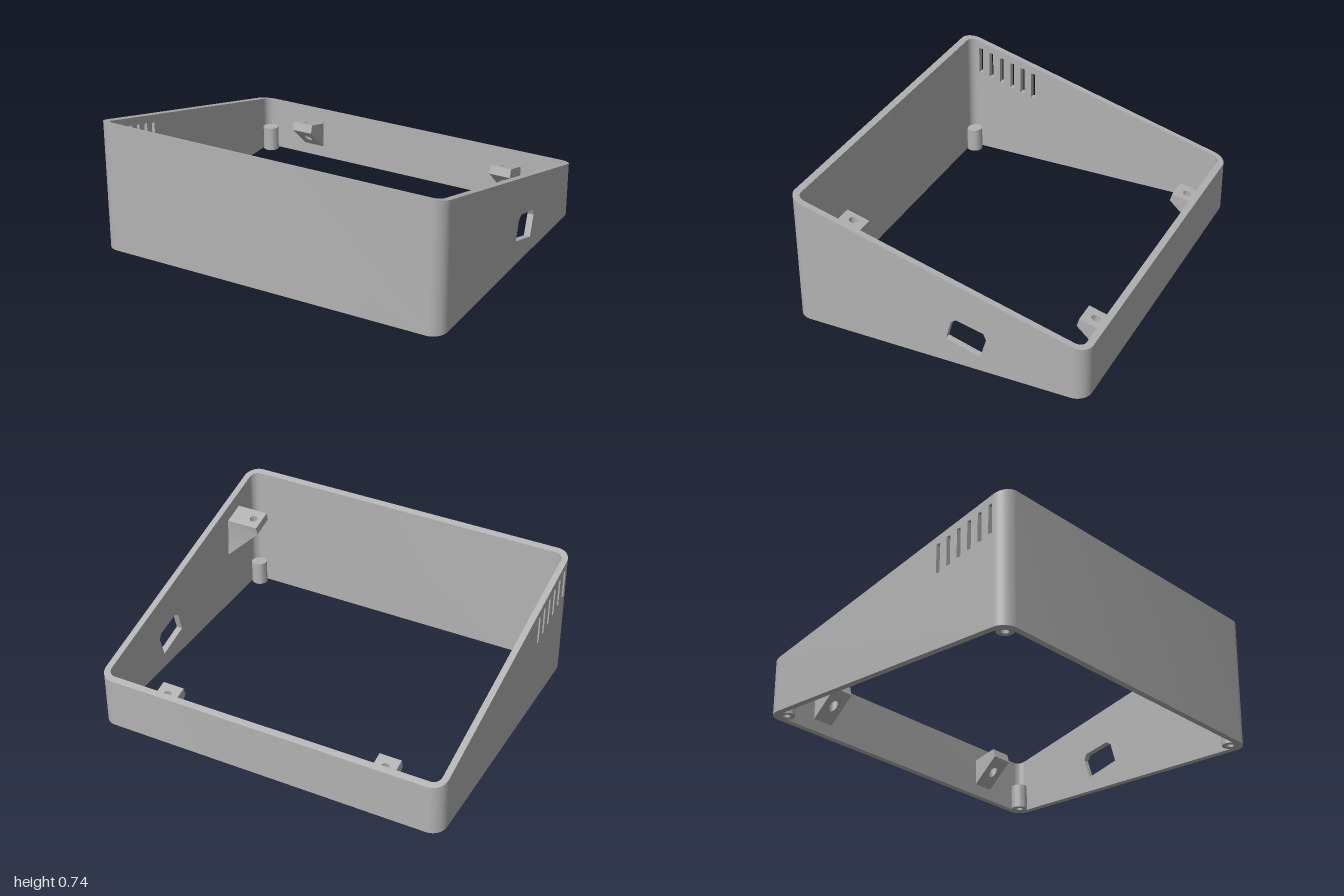
import * as THREE from 'three';
import { toCreasedNormals } from 'three/addons/utils/BufferGeometryUtils.js';

const WALL = 0.035, HALF_Z = 0.825, R = 0.08, STRAIGHT = HALF_Z - R;
const SLOPE = 0.268, COS = 0.966, SIN = 0.259;
const rimY = (z) => 0.514 + SLOPE * z; // sloping top edge

export function createModel() {
  const group = new THREE.Group();
  const grey = new THREE.MeshStandardMaterial({ color: 0xb2b2b2 });
  grey.name = 'grey plastic';

  const add = (geometry, name) => {
    const mesh = new THREE.Mesh(toCreasedNormals(geometry, 0.5), grey);
    mesh.name = name;
    group.add(mesh);
    return mesh;
  };
  const polygon = (points, Type = THREE.Shape) => new Type(points.map(([a, b]) => new THREE.Vector2(a, b)));
  const moveVertices = (geometry, rule) => {
    const p = geometry.attributes.position, v = new THREE.Vector3();
    for (let i = 0; i < p.count; i++) {
      v.fromBufferAttribute(p, i);
      rule(v);
      p.setXYZ(i, v.x, v.y, v.z);
    }
    return geometry;
  };

  // Front and back walls, each with its two rounded corners
  for (const [name, turn] of [['backWall', 0], ['frontWall', Math.PI]]) {
    const cx = 1 - R, r = R - WALL, q = Math.PI / 2;
    const plan = new THREE.Shape();
    plan.moveTo(1, STRAIGHT);
    plan.absarc(cx, STRAIGHT, R, 0, q);
    plan.absarc(-cx, STRAIGHT, R, q, 2 * q);
    plan.lineTo(-cx - r, STRAIGHT);
    plan.absarc(-cx, STRAIGHT, r, 2 * q, q, true);
    plan.absarc(cx, STRAIGHT, r, q, 0, true);
    const wall = new THREE.ExtrudeGeometry(plan, { depth: 1, bevelEnabled: false, curveSegments: 10 });
    wall.rotateX(-Math.PI / 2).rotateY(turn);
    add(moveVertices(wall, (v) => { v.y = v.y > 0.5 ? rimY(v.z) : 0; }), name);
  }

  // Side walls, drawn as (-z, y) and pierced by a port or by vents
  const sideWall = (name, x, holes) => {
    const s = polygon([[-STRAIGHT, 0], [STRAIGHT, 0], [STRAIGHT, rimY(-STRAIGHT)], [-STRAIGHT, rimY(STRAIGHT)]]);
    s.holes = holes.map((h) => polygon(h, THREE.Path));
    const g = new THREE.ExtrudeGeometry(s, { depth: WALL, bevelEnabled: false });
    add(g.rotateY(Math.PI / 2).translate(x, 0, 0), name);
  };
  const port = [[0.06, 0.14], [0.25, 0.085], [0.285, 0.2], [0.27, 0.235], [0.12, 0.27], [0.09, 0.25]];
  const vents = [];
  for (let i = 0; i < 6; i++) {
    const z = 0.385 + i * 0.068, w = 0.012, top = rimY(z) - 0.045;
    vents.push([[-z - w, top - 0.16], [-z + w, top - 0.16], [-z + w, top], [-z - w, top]]);
  }
  sideWall('leftWallWithPort', 1 - WALL, [port]);
  sideWall('rightWallWithVents', -1, vents);

  // Corner screw posts with a blind hole from below
  const postProfile = [[0, 0.1], [0.02, 0.1], [0.02, 0], [0.045, 0], [0.045, 0.14], [0, 0.14]]
    .map(([x, y]) => new THREE.Vector2(x, y));
  for (const x of [-0.925, 0.925]) {
    for (const z of [-0.755, 0.755]) {
      add(new THREE.LatheGeometry(postProfile, 28), 'screwPost').position.set(x, 0, z);
    }
  }

  // Wedge bracket: top face parallel to the rim, underside running down to the wall
  const bracket = (name, origin, out, across, length, width, holeAt, wallDrop) => {
    const s = polygon([[0, -width / 2], [length, -width / 2], [length, width / 2], [0, width / 2]]);
    const hole = new THREE.Path();
    hole.absarc(holeAt, 0, 0.023, 0, Math.PI * 2, true);
    s.holes.push(hole);
    const g = new THREE.ExtrudeGeometry(s, { depth: 1, bevelEnabled: false, curveSegments: 10 });
    const tipDrop = new THREE.Vector3(0, -0.05 * COS, 0.05 * SIN);
    moveVertices(g, (v) => {
      const [u, w, bottom] = [v.x, v.y, v.z < 0.5];
      v.copy(origin).addScaledVector(out, u).addScaledVector(across, w);
      if (bottom) v.add(wallDrop.clone().lerp(tipDrop, u / length));
    });
    add(g, name);
  };
  const V = (x, y, z) => new THREE.Vector3(x, y, z);
  const along = V(0, SIN, COS), drop = 0.087;
  for (const x of [-0.64, 0.64]) {
    bracket('backBracket', V(x, rimY(-0.8) - drop, -0.8), along, V(1, 0, 0),
      0.15, 0.125, 0.083, V(0, -0.155, 0));
  }
  bracket('sideBracket', V(0.97, rimY(0.547) - drop, 0.547), V(-1, 0, 0), along,
    0.19, 0.13, 0.14, V(0, -0.23, -0.012));

  return group;
}
